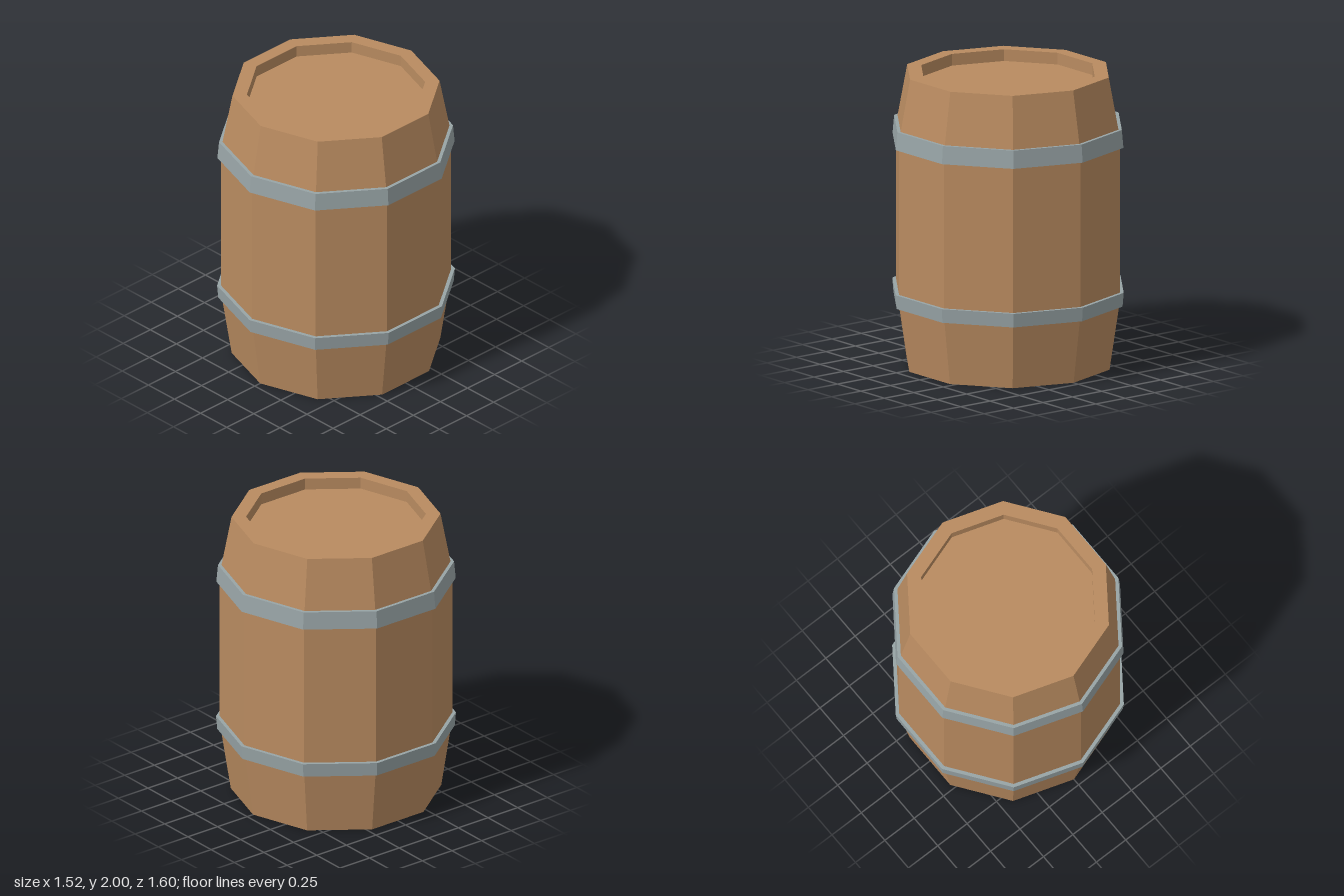
import * as THREE from 'three';

const SIDES = 10;

// Ten-sided faceted solid from [radius, height] points, listed bottom to top on the outside
function facetedLathe(name, points, material) {
  const profile = points.map(([r, y]) => new THREE.Vector2(r, y));
  const geometry = new THREE.LatheGeometry(profile, SIDES).toNonIndexed();
  geometry.computeVertexNormals();
  const mesh = new THREE.Mesh(geometry, material);
  mesh.name = name;
  return mesh;
}

export function createModel() {
  const wood = new THREE.MeshStandardMaterial({ color: 0xb98b60 });
  wood.name = 'wood';
  const metal = new THREE.MeshStandardMaterial({ color: 0x98a4a6 });
  metal.name = 'metal';

  const barrel = new THREE.Group();
  barrel.name = 'barrel';

  // Closed base, tapered staves, rim and sunken lid
  barrel.add(facetedLathe('barrelBody', [
    [0, 0], [0.7, 0], [0.773, 0.485], [0.773, 1.585],
    [0.695, 2], [0.598, 2], [0.598, 1.92], [0, 1.92],
  ], wood));

  // Hoops: [name, bottom height, top height, bottom radius, top radius]
  const hoops = [
    ['lowerHoop', 0.438, 0.533, 0.79, 0.798],
    ['upperHoop', 1.525, 1.647, 0.796, 0.785],
  ];
  for (const [name, y0, y1, r0, r1] of hoops) {
    barrel.add(facetedLathe(name, [
      [0.74, y0], [r0, y0], [r1, y1], [0.74, y1],
    ], metal));
  }
  return barrel;
}
